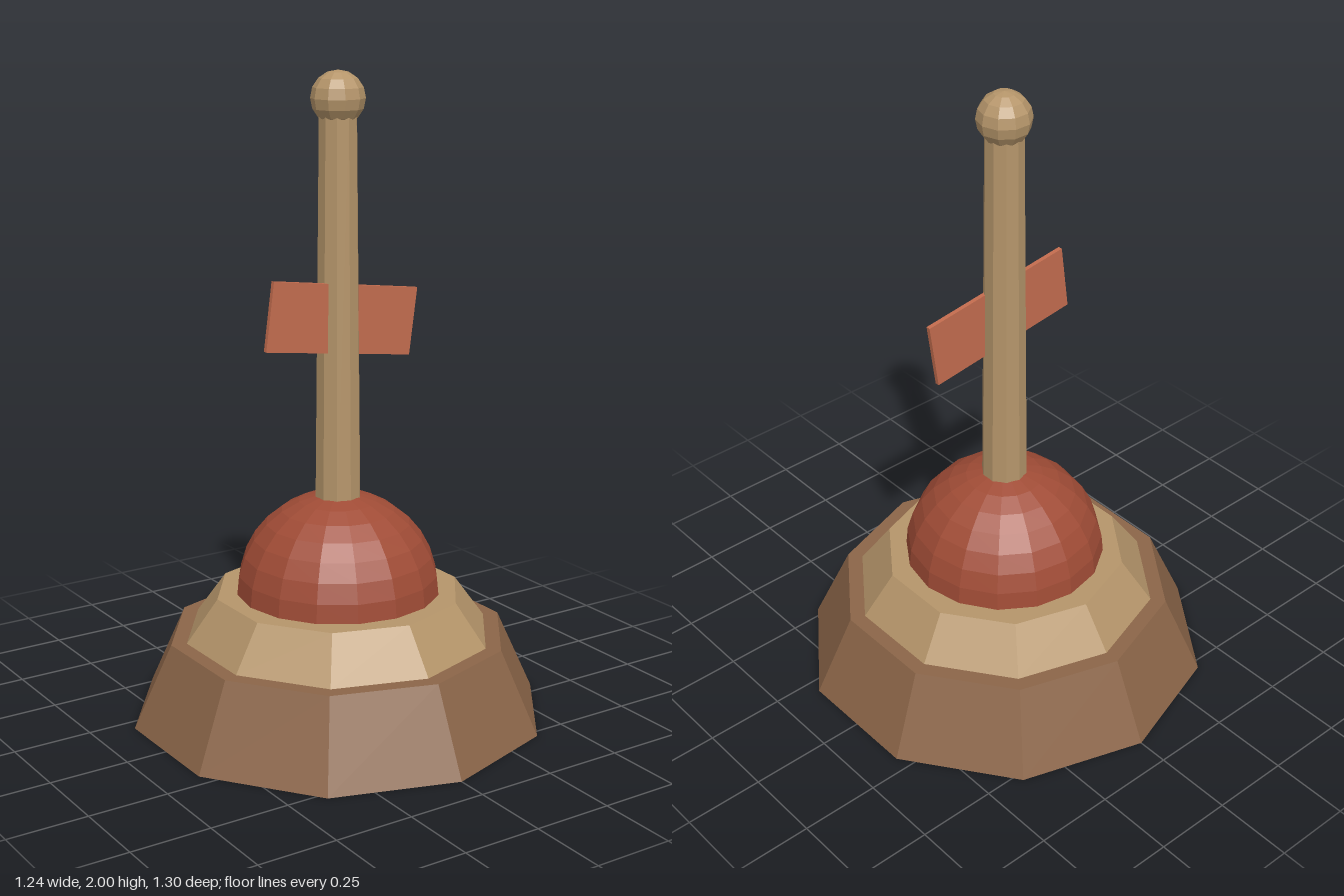
import * as THREE from 'three';

const paint = (name, color) => {
  const m = new THREE.MeshStandardMaterial({ color, flatShading: true });
  m.name = name;
  return m;
};

export function createModel() {
  const model = new THREE.Group();
  model.name = 'plungerTrophy';
  const brown = paint('brownWood', 0x8b6548);
  const tan = paint('tanWood', 0xb5956a);
  const red = paint('redRubber', 0xa04c36);
  const orange = paint('terracottaPlate', 0xc26c4e);

  const add = (name, geometry, material, y) => {
    const mesh = new THREE.Mesh(geometry, material);
    mesh.name = name;
    mesh.position.y = y;
    model.add(mesh);
    return mesh;
  };
  // Ten-sided tapered piece spanning y0 to y1
  const taper = (name, rBottom, rTop, y0, y1, material) =>
    add(name, new THREE.CylinderGeometry(rTop, rBottom, y1 - y0, 10), material, (y0 + y1) / 2);

  // Two-step base
  taper('lowerBase', 0.652, 0.532, 0, 0.262, brown);
  taper('upperBase', 0.483, 0.385, 0.262, 0.397, tan);

  // Rubber dome
  add('dome', new THREE.SphereGeometry(0.318, 16, 8, 0, Math.PI * 2, 0, Math.PI / 2), red, 0.393);

  // Handle with a round knob
  taper('handle', 0.072, 0.058, 0.66, 1.9, tan);
  add('knob', new THREE.SphereGeometry(0.082, 10, 8), tan, 1.918);

  // Tilted plate through the handle
  const plate = add('crossPlate', new THREE.BoxGeometry(0.52, 0.21, 0.014), orange, 1.261);
  plate.position.z = 0.023;
  plate.rotation.z = -0.137;

  return model;
}
